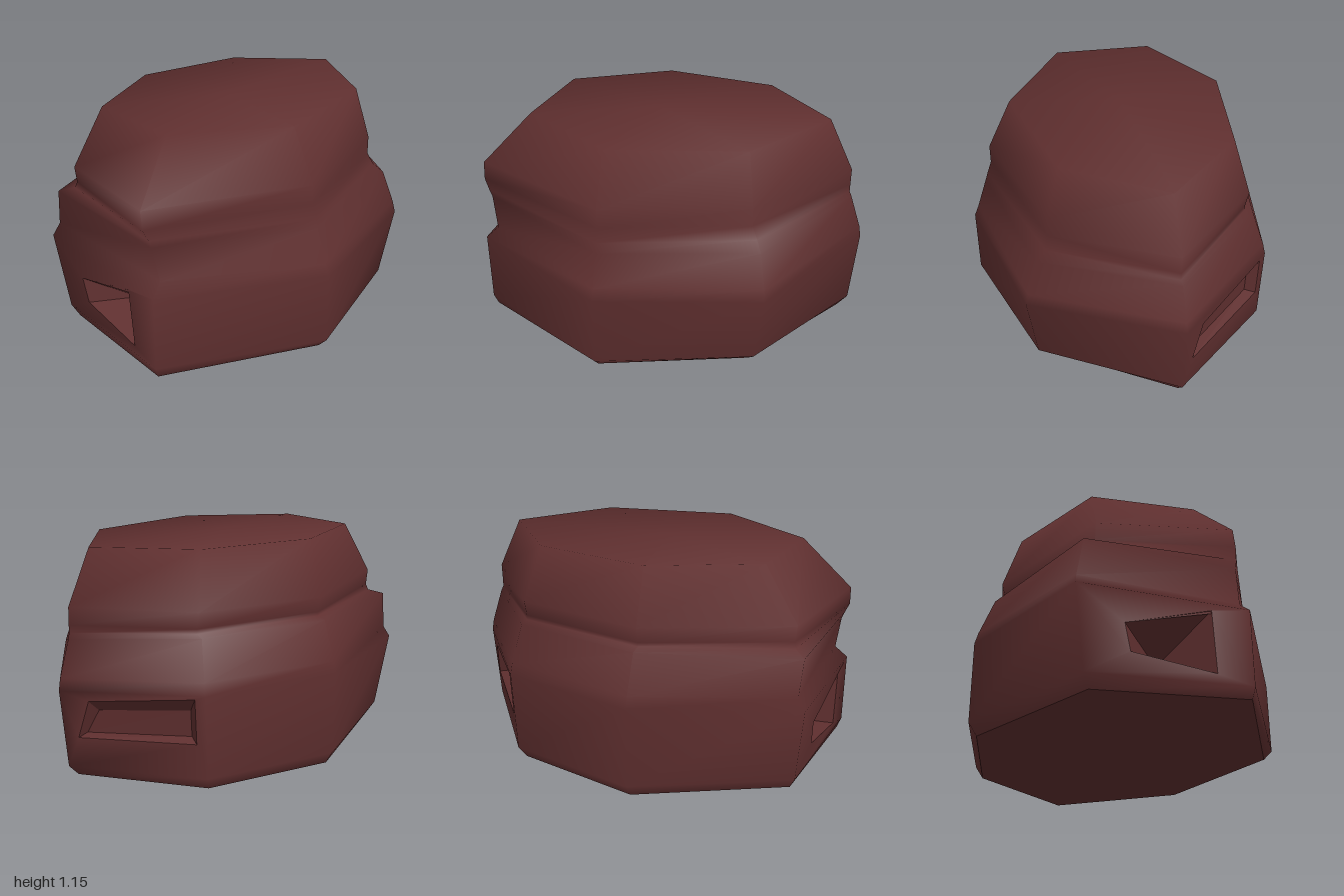
import * as THREE from 'three';

// Seven-sided footprint [x, z]: back, back left, left, front left, front right, right, back right
const OUTLINE = [[-0.13, -1], [-0.68, -0.52], [-0.8, 0.2], [-0.44, 0.98], [0.38, 1], [0.8, 0.23], [0.6, -0.6]];

// Levels: height at -x, height at +x, width scale at -x, at +x, back scale
const LEVELS = [
  [0, 0, 0.945, 0.94, 0.91],
  [0.07, 0.05, 1, 1, 0.965],
  [0.5, 0.42, 1, 1, 1],
  [0.56, 0.48, 0.98, 0.97, 0.99],
  [0.76, 0.65, 0.885, 0.9, 0.93],
  [0.77, 0.7, 0.82, 0.88, 0.92],
  [0.79, 0.77, 0.82, 0.85, 0.92],
  [0.87, 0.87, 0.845, 0.85, 0.92],
  [1.155, 1.135, 0.73, 0.69, 0.79],
];

// Corners that weave in and out from level to level, as [x, z] per level
const WORN_CORNERS = {
  // Front left: steps back above the high ledge
  3: [[-0.36, 0.91], [-0.39, 0.94], [-0.44, 0.98], [-0.43, 0.94], [-0.4, 0.95],
    [-0.34, 0.89], [-0.33, 0.88], [-0.33, 0.89], [-0.31, 0.71]],
  // Front right: notched low down, overhanging above
  4: [[0.37, 0.98], [0.38, 1], [0.38, 1], [0.36, 0.935], [0.34, 0.96],
    [0.34, 0.975], [0.33, 1], [0.32, 1], [0.22, 0.75]],
  // Back right: tucked under at the foot and drawn in at the neck
  6: [[0.5, -0.51], [0.55, -0.55], [0.6, -0.6], [0.585, -0.595], [0.53, -0.56],
    [0.48, -0.53], [0.46, -0.5], [0.46, -0.5], [0.39, -0.46]],
};

// Hollows in the wall above level 1: side number, corners as [u, v] on the wall, depth
const HOLLOWS = {
  3: { hole: [[0.28, 0.28], [0.78, 0.12], [0.77, 0.91], [0.26, 0.61]], floor: [[0.48, 0.3]], depth: 0.2 },
  0: {
    hole: [[0.1, 0.4], [0.93, 0.42], [0.93, 0.96], [0.2, 0.88]],
    floor: [[0.14, 0.42], [0.88, 0.46], [0.88, 0.78], [0.24, 0.72]], depth: 0.05,
  },
};

function levelPoint(level, corner) {
  const [yl, yr, sl, sr, sb] = LEVELS[level];
  const [x, z] = OUTLINE[corner];
  const y = yl + (yr - yl) * (x + 0.8) / 1.6;
  const worn = WORN_CORNERS[corner];
  if (worn) return new THREE.Vector3(worn[level][0], y, worn[level][1]);
  return new THREE.Vector3(x * (x < 0 ? sl : sr), y, z < 0 ? z * sb : z);
}

function buildGeometry(points, index) {
  const geometry = new THREE.BufferGeometry().setFromPoints(points);
  geometry.setIndex(index);
  geometry.computeVertexNormals();
  return geometry;
}

export function createModel() {
  const group = new THREE.Group();
  const stone = new THREE.MeshStandardMaterial({ color: 0x5f2f2f });
  stone.name = 'reddish brown stone';
  const n = OUTLINE.length;
  const points = LEVELS.flatMap((_, level) => OUTLINE.map((__, corner) => levelPoint(level, corner)));
  const index = [];
  const quad = (a, b, c, d) => index.push(a, b, c, a, c, d);
  const addPart = (name, geometry) => {
    const mesh = new THREE.Mesh(geometry, stone);
    mesh.name = name;
    group.add(mesh);
  };

  // Walls, with the hollows cut out of the lower band
  for (let level = 0; level < LEVELS.length - 1; level++) {
    for (let i = 0; i < n; i++) {
      const a = level * n + i, b = level * n + (i + 1) % n;
      const corners = [a, b, b + n, a + n];
      const hollow = level === 1 && HOLLOWS[i];
      if (!hollow) {
        quad(...corners);
        continue;
      }
      const [pa, pb, pc, pd] = corners.map((k) => points[k]);
      const normal = pb.clone().sub(pa).cross(pd.clone().sub(pa)).normalize();
      const onWall = ([u, v], depth = 0) => pa.clone().lerp(pb, u)
        .lerp(pd.clone().lerp(pc, u), v).addScaledVector(normal, -depth);
      const rim = hollow.hole.map((p) => onWall(p));
      const floor = hollow.floor.map((p) => onWall(p, hollow.depth));
      const first = points.length;
      points.push(...rim);
      for (let k = 0; k < 4; k++) {
        const m = (k + 1) % 4;
        quad(corners[k], corners[m], first + m, first + k);
      }
      // Recess sides run from the rim to the floor point or floor panel
      const inner = [];
      for (let k = 0; k < 4; k++) {
        const m = (k + 1) % 4;
        inner.push(rim[k], rim[m], floor[m % floor.length]);
        if (floor.length > 1) inner.push(rim[k], floor[m], floor[k]);
      }
      if (floor.length > 1) inner.push(floor[0], floor[1], floor[2], floor[0], floor[2], floor[3]);
      addPart(i === 3 ? 'frontHollow' : 'backHollow', buildGeometry(inner, inner.map((_, k) => k)));
    }
  }

  // Flat top sharing smooth normals with the walls
  const topStart = (LEVELS.length - 1) * n;
  const centre = points.push(new THREE.Vector3(-0.02, 1.15, 0.1)) - 1;
  for (let i = 0; i < n; i++) index.push(topStart + i, topStart + (i + 1) % n, centre);
  addPart('rockBody', buildGeometry(points, index));

  // Flat underside
  const base = points.slice(0, n).map((p) => p.clone());
  const baseIndex = [];
  for (let i = 1; i < n - 1; i++) baseIndex.push(0, i + 1, i);
  addPart('underside', buildGeometry(base, baseIndex));
  return group;
}
